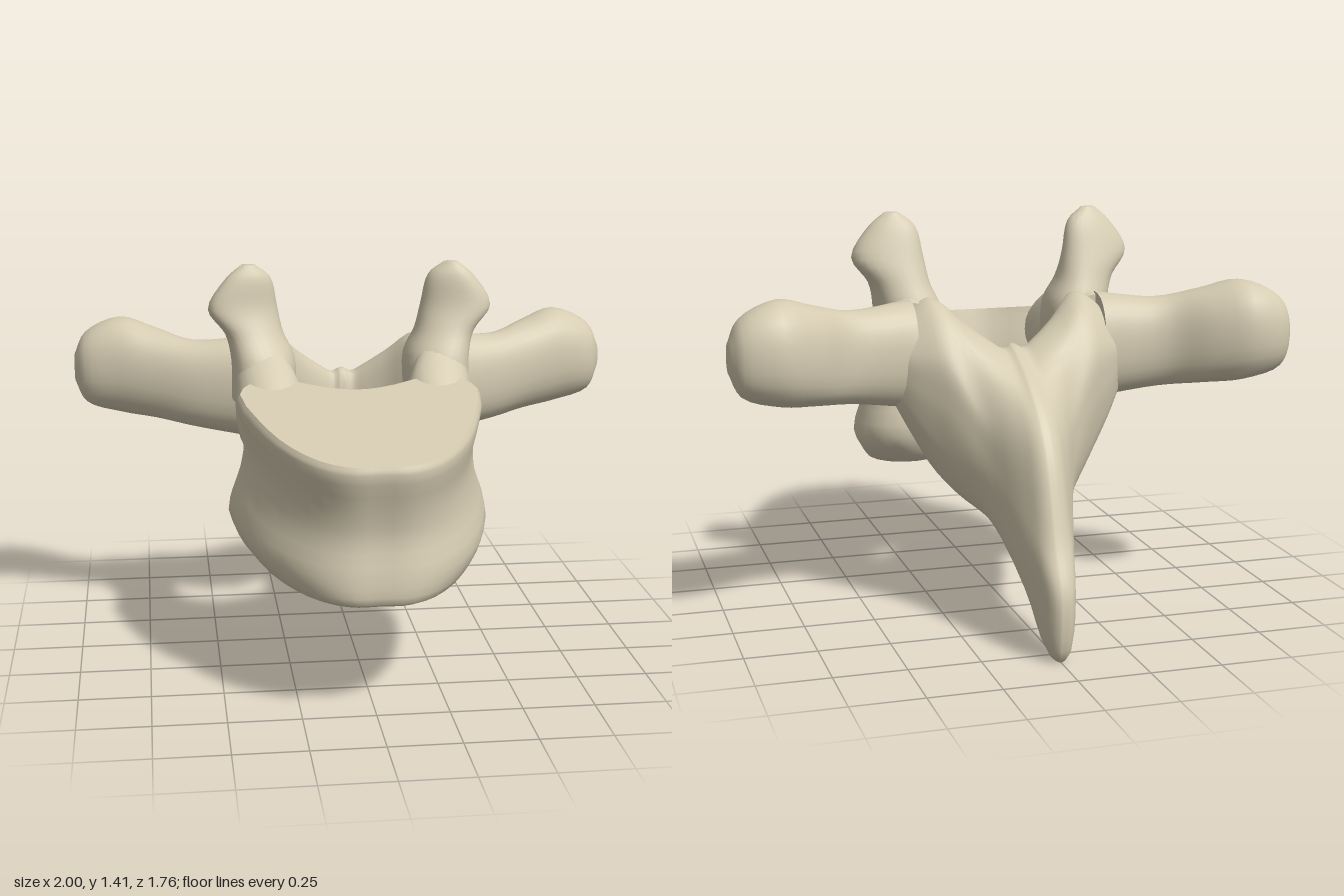
import * as THREE from 'three';
import { mergeVertices, toCreasedNormals } from 'three/addons/utils/BufferGeometryUtils.js';

const V = (x, y, z) => new THREE.Vector3(x, y, z);

// Smooth solid through closed rings of equal point count, capped at both ends.
function loft(rings, around, steps, crease) {
  const fine = rings.map((r) => {
    const c = new THREE.CatmullRomCurve3(r, true, 'centripetal');
    return Array.from({ length: around }, (_, i) => c.getPoint(i / around));
  });
  const levels = (rings.length - 1) * steps + 1;
  const columns = Array.from({ length: around }, (_, i) => {
    const c = new THREE.CatmullRomCurve3(fine.map((r) => r[i]), false, 'centripetal');
    return Array.from({ length: levels }, (_, k) => c.getPoint(k / (levels - 1)));
  });
  const pts = [];
  for (let k = 0; k < levels; k++) for (let i = 0; i < around; i++) pts.push(columns[i][k]);
  const index = [];
  for (let k = 0; k < levels - 1; k++) {
    for (let i = 0; i < around; i++) {
      const a = k * around + i, b = k * around + (i + 1) % around;
      index.push(a, b, a + around, b, b + around, a + around);
    }
  }
  for (const end of [0, levels - 1]) {
    const mid = V(0, 0, 0);
    for (let i = 0; i < around; i++) mid.addScaledVector(columns[i][end], 1 / around);
    const m = pts.push(mid) - 1;
    for (let i = 0; i < around; i++) {
      const a = end * around + i, b = end * around + (i + 1) % around;
      if (end) index.push(a, b, m); else index.push(b, a, m);
    }
  }
  // Turn the faces outward whichever way the rings run.
  let volume = 0;
  for (let i = 0; i < index.length; i += 3) {
    volume += pts[index[i]].dot(V(0, 0, 0).crossVectors(pts[index[i + 1]], pts[index[i + 2]]));
  }
  if (volume < 0) index.reverse();
  const geo = new THREE.BufferGeometry().setFromPoints(pts);
  geo.setIndex(index);
  return toCreasedNormals(mergeVertices(geo, 1e-5), crease);
}

// Rounded ring filling a rectangle; place(u, v) maps it into space.
function oval(u0, u1, v0, v1, place) {
  const soft = (n) => Math.sign(n) * Math.abs(n) ** 0.85;
  return Array.from({ length: 12 }, (_, i) => {
    const a = (i / 12) * Math.PI * 2;
    return place((u0 + u1) / 2 + soft(Math.cos(a)) * (u1 - u0) / 2,
      (v0 + v1) / 2 + soft(Math.sin(a)) * (v1 - v0) / 2);
  });
}

export function createModel() {
  const model = new THREE.Group();
  model.name = 'vertebra';
  const bone = new THREE.MeshStandardMaterial({ color: 0xd6ccb2 });
  bone.name = 'bone';

  const add = (name, rings, around = 28, steps = 4, crease = 0.85) => {
    const mesh = new THREE.Mesh(loft(rings, around, steps, crease), bone);
    mesh.name = name;
    model.add(mesh);
  };
  const addPair = (name, rings) => {
    add('left' + name, rings);
    add('right' + name, rings.map((r) => r.map((p) => V(-p.x, p.y, p.z))));
  };

  // Body: waisted block with a hollowed back and sloping end plates
  const half = [[0, 0.85], [0.1, 0.85], [0.2, 0.8], [0.3, 0.68], [0.38, 0.5],
    [0.435, 0.17], [0.38, 0.04], [0.28, 0.01], [0.1, 0.14], [0, 0.17]];
  const outline = [...half, ...half.slice(1, -1).reverse().map(([x, z]) => [-x, z])];
  // Height, width, front shift, back shift
  const bodyLevels = [[0, 0.86, -0.03, 0.1], [0.03, 0.93, -0.01, 0.06], [0.2, 1.05, -0.01, 0],
    [0.45, 0.96, -0.03, 0.01], [0.68, 0.92, -0.01, 0.05], [0.95, 0.98, 0.028, 0.1], [1, 0.95, 0.02, 0.11]];
  add('body', bodyLevels.map(([t, width, front, back]) => outline.map(([x, z]) => {
    const shifted = z > 0.4 ? z + front * (z - 0.4) / 0.45 : z + back * (0.4 - z) / 0.3;
    const low = 0.48 - 0.075 * shifted, high = 1.06 - 0.18 * shifted;
    return V(x * width, low + (high - low) * t, shifted);
  })), 44, 3, 0.7);

  // Pedicles: z, x range, y range
  addPair('Pedicle', [
    [0.32, 0.2, 0.37, 0.72, 0.96], [0.15, 0.18, 0.42, 0.74, 1.08],
    [0, 0.24, 0.42, 0.83, 1.17], [-0.18, 0.25, 0.42, 0.81, 1.12],
  ].map(([z, x0, x1, y0, y1]) => oval(x0, x1, y0, y1, (x, y) => V(x, y, z))));

  // Upper joint horns: y, x range, z range; the outer edge leans forward
  addPair('UpperJointHorn', [
    [0.94, 0.2, 0.43, -0.17, 0.16], [1.08, 0.2, 0.43, -0.17, 0.13], [1.17, 0.24, 0.45, -0.135, 0.08],
    [1.26, 0.26, 0.51, -0.1, 0.05], [1.37, 0.285, 0.445, -0.06, 0.03], [1.417, 0.34, 0.39, -0.03, 0.01],
  ].map(([y, x0, x1, z0, z1]) => oval(x0, x1, z0, z1,
    (x, z) => V(x, y, z + (x - (x0 + x1) / 2) * 0.15))));

  // Side wings: x, z range, y range
  addPair('SideWing', [
    [0.34, -0.3, -0.04, 0.75, 1.13], [0.56, -0.325, -0.11, 0.785, 1.11], [0.7, -0.43, -0.16, 0.805, 1.145],
    [0.83, -0.49, -0.2, 0.82, 1.178], [0.96, -0.46, -0.25, 0.86, 1.12], [1, -0.4, -0.31, 0.94, 1.04],
  ].map(([x, z0, z1, y0, y1]) => oval(z0, z1, y0, y1, (z, y) => V(x, y, z))));

  // Arch and spine: side outlines as [z, y] at four distances from the midline
  const middle = [[-0.25, 0.97], [-0.4, 0.94], [-0.66, 0.74], [-0.8, 0.4], [-0.873, 0.22],
    [-0.83, 0.005], [-0.57, 0.28], [-0.42, 0.45], [-0.27, 0.6]];
  const flank = [[-0.24, 0.98], [-0.38, 0.95], [-0.59, 0.74], [-0.68, 0.5], [-0.72, 0.33],
    [-0.7, 0.22], [-0.54, 0.33], [-0.42, 0.44], [-0.26, 0.58]];
  const lowerJoint = [[-0.2, 1.04], [-0.35, 1], [-0.47, 0.78], [-0.49, 0.66], [-0.49, 0.54],
    [-0.46, 0.46], [-0.42, 0.43], [-0.34, 0.43], [-0.22, 0.62]];
  const plate = [[-0.12, 1.12], [-0.25, 1.11], [-0.38, 0.95], [-0.39, 0.8], [-0.37, 0.68],
    [-0.34, 0.59], [-0.3, 0.54], [-0.25, 0.53], [-0.16, 0.72]];
  const shrink = (profile, s, cz, cy) => profile.map(([z, y]) => [cz + (z - cz) * s, cy + (y - cy) * s]);
  const slices = [[0, middle], [0.035, shrink(middle, 0.96, -0.4, 0.6)], [0.08, flank], [0.16, lowerJoint],
    [0.27, plate], [0.36, shrink(plate, 0.66, -0.18, 0.97)], [0.43, shrink(plate, 0.35, -0.18, 0.97)]];
  const ring = (side) => ([x, profile]) => profile.map(([z, y]) => V(x * side, y, z));
  add('archAndSpine', [...slices.slice(1).reverse().map(ring(-1)), ...slices.map(ring(1))], 54, 4, 0.9);

  return model;
}
